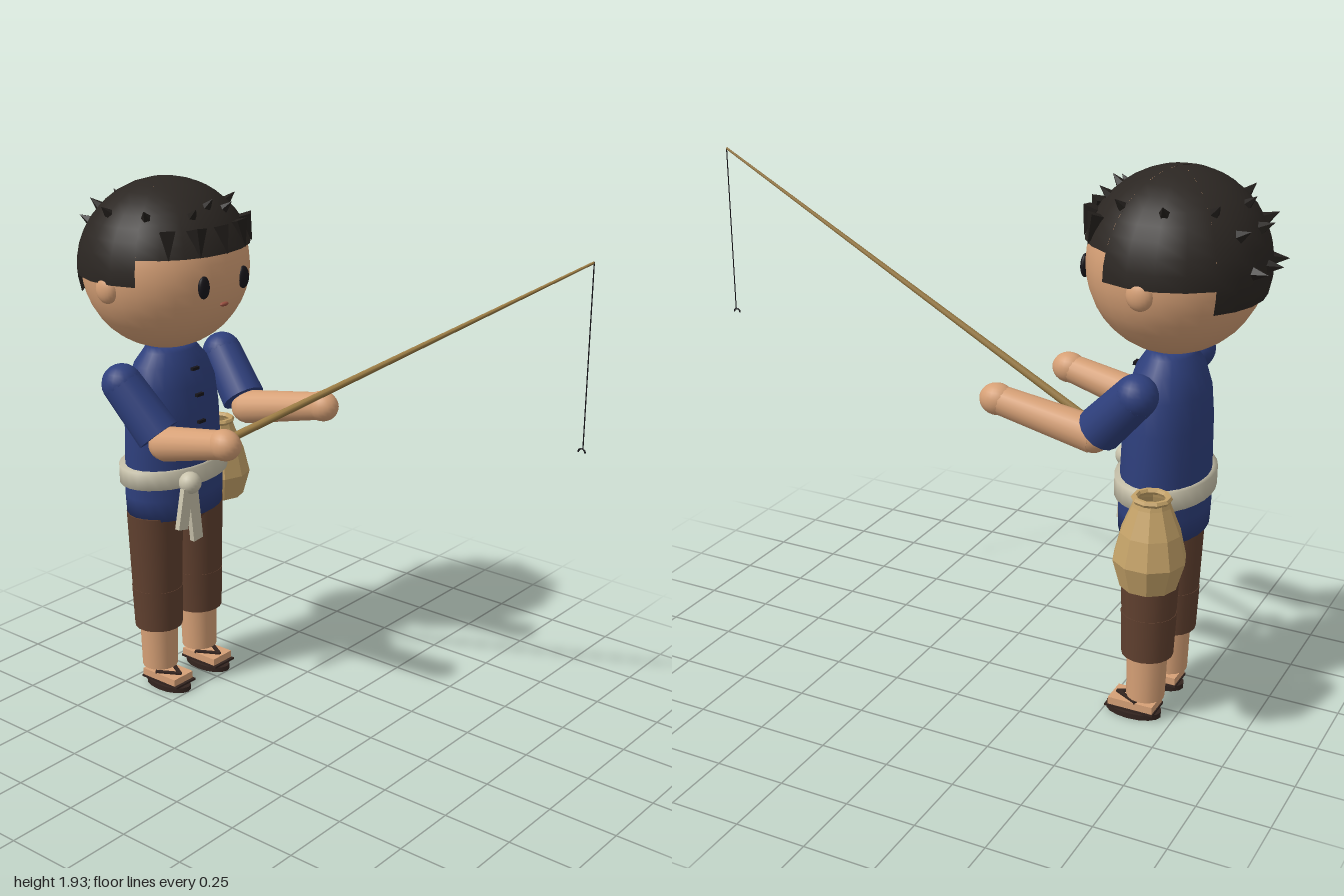
import * as THREE from 'three';

const V = (x, y, z) => new THREE.Vector3(x, y, z);
const rad = THREE.MathUtils.degToRad;
const paint = (color, extra = {}) => new THREE.MeshStandardMaterial({ color, ...extra });
const DS = { side: THREE.DoubleSide };
const skin = paint(0xd6a076), blue = paint(0x2e3f7c, DS), hairMat = paint(0x2b2622, DS);
const spikeMat = paint(0x221e1b, { flatShading: true }), pants = paint(0x60402f);
const dark = paint(0x33241f), cream = paint(0xc9c3ac, DS), ink = paint(0x17151a);
const bamboo = paint(0x9c7d45), wicker = paint(0xc4a268, { flatShading: true, ...DS });
const CX = -0.05, CZ = -0.645; // body axis

export function createModel() {
  const root = new THREE.Group();

  function add(name, geo, mat, pos, scale, parent = root) {
    const m = new THREE.Mesh(geo, mat);
    m.name = name;
    if (pos) m.position.copy(pos);
    if (scale) m.scale.copy(scale);
    parent.add(m);
    return m;
  }
  const ball = (name, mat, pos, sx, sy = sx, sz = sx) =>
    add(name, new THREE.SphereGeometry(1, 20, 14), mat, pos, V(sx, sy, sz));
  // Tapered cylinder between two points
  function limb(name, mat, a, b, ra, rb, sides = 16) {
    const dir = b.clone().sub(a);
    const m = add(name, new THREE.CylinderGeometry(rb, ra, dir.length(), sides), mat, a.clone().lerp(b, 0.5));
    m.quaternion.setFromUnitVectors(V(0, 1, 0), dir.normalize());
    return m;
  }
  const lathe = (pts, sides) => new THREE.LatheGeometry(pts.map(p => new THREE.Vector2(...p)), sides);

  // Head and face
  const headPos = V(CX, 1.62, CZ - 0.005);
  add('head', new THREE.SphereGeometry(1, 28, 20), skin, headPos, V(0.31, 0.298, 0.29));
  for (const s of [-1, 1]) {
    ball('ear', skin, V(CX + s * 0.3, 1.585, CZ), 0.03, 0.05, 0.045);
    ball('eye', ink, V(CX + s * 0.102, 1.595, -0.375), 0.026, 0.04, 0.014);
  }
  ball('mouth', paint(0x9a5040), V(CX, 1.518, -0.376), 0.02, 0.008, 0.01);

  // Hair cap in bands: short over the face, longer at the sides and back
  const hairR = V(0.325, 0.311, 0.306);
  for (const [from, to, drop] of [[-64, 64, 75], [64, 135, 92], [135, 225, 107], [225, 296, 92]])
    add('hairCap', new THREE.SphereGeometry(1, Math.round((to - from) / 16), 10,
      rad(90 + from), rad(to - from), 0, rad(drop)), hairMat, headPos, hairR);

  // Hair tufts, placed by angle from the front and angle from the crown
  function tuft(turn, tilt, r, h) {
    const n = V().setFromSphericalCoords(1, rad(tilt), rad(turn));
    const m = add('hairTuft', new THREE.ConeGeometry(r, h, 5), spikeMat,
      n.clone().multiply(hairR).add(headPos).addScaledVector(n, h * 0.3));
    m.quaternion.setFromUnitVectors(V(0, 1, 0), n);
  }
  for (let i = 0; i < 9; i++) tuft(20 + i * 40, 47, 0.021, 0.05);
  tuft(0, 42, 0.021, 0.05);
  for (const a of [155, 180, 205]) tuft(a, 63, 0.026, 0.06);
  for (const a of [163, 180, 197]) tuft(a, 86, 0.026, 0.06);
  // Fringe points
  for (const a of [-42, -21, 0, 21, 42]) {
    const n = V(Math.sin(rad(a)), 0, Math.cos(rad(a)));
    const m = add('fringe', new THREE.ConeGeometry(0.036, 0.1, 4), spikeMat,
      V(n.x * 0.305, 0.125, n.z * 0.282).add(headPos));
    m.quaternion.setFromUnitVectors(V(0, 1, 0), n.multiplyScalar(0.3).add(V(0, -1, 0)).normalize());
  }

  // Tunic, belt and hips
  const flat = V(1, 1, 0.7);
  add('tunic', lathe([[0, 0.7], [0.208, 0.7], [0.212, 0.78], [0.206, 0.95], [0.202, 1.08], [0.188, 1.19],
    [0.155, 1.27], [0.115, 1.315], [0.1, 1.335], [0, 1.335]], 24), blue, V(CX, 0, CZ), flat);
  add('hips', new THREE.CylinderGeometry(0.2, 0.14, 0.06, 16), pants, V(CX, 0.69, CZ), flat);
  add('belt', lathe([[0.2, 0.832], [0.235, 0.832], [0.235, 0.898], [0.2, 0.898]], 28), cream,
    V(CX, 0, CZ), V(1, 1, 0.69));
  for (const [y, z] of [[1.255, -0.524], [1.16, -0.506], [1.06, -0.5]])
    add('button', new THREE.BoxGeometry(0.034, 0.011, 0.014), ink, V(CX, y, z));
  ball('beltKnot', cream, V(-0.165, 0.865, -0.455), 0.041);
  for (const [x, y, len, tilt] of [[-0.203, 0.775, 0.15, -0.22], [-0.152, 0.74, 0.2, 0.1]])
    add('beltTail', new THREE.BoxGeometry(0.048, len, 0.02), cream, V(x, y, -0.452)).rotation.z = tilt;

  // Legs and sandals
  for (const s of [-1, 1]) {
    const x = CX + s * 0.11;
    const up = (y) => V(x, y, CZ);
    limb('thigh', pants, up(0.405), up(0.71), 0.094, 0.104, 18);
    limb('trouserCuff', pants, up(0.25), up(0.41), 0.09, 0.096, 18);
    limb('shin', skin, up(0.08), up(0.26), 0.067, 0.071, 16);
    const sandal = new THREE.Group();
    sandal.name = 'sandal';
    sandal.position.set(x, 0, -0.603);
    root.add(sandal);
    const sole = new THREE.CylinderGeometry(1, 1, 0.02, 16);
    add('sole', sole, dark, V(0, 0.01, 0), V(0.058, 1, 0.102), sandal);
    add('foot', new THREE.BoxGeometry(0.1, 0.036, 0.165), skin, V(0, 0.042, -0.004), null, sandal);
    add('footbed', new THREE.BoxGeometry(0.106, 0.008, 0.18), dark, V(0, 0.029, 0), null, sandal);
    for (const t of [-1, 1])
      add('strap', new THREE.BoxGeometry(0.014, 0.01, 0.1), dark, V(t * 0.022, 0.062, 0.02), null, sandal)
        .rotation.y = -t * 0.5;
  }

  // Arms reaching forward
  const arms = [
    [V(-0.312, 1.24, -0.63), V(-0.27, 1.04, -0.47), V(-0.283, 1.105, -0.175)],
    [V(0.212, 1.24, -0.63), V(0.17, 1.065, -0.47), V(0.185, 1.135, -0.125)],
  ];
  for (const [shoulder, elbow, hand] of arms) {
    ball('shoulder', blue, shoulder, 0.073);
    limb('sleeve', blue, shoulder, shoulder.clone().lerp(elbow, 0.85), 0.073, 0.08);
    ball('elbow', skin, elbow, 0.06);
    limb('forearm', skin, elbow, hand, 0.063, 0.05);
    ball('hand', skin, hand, 0.053, 0.055, 0.062);
  }

  // Fishing rod with line and hook
  const tip = V(0.08, 1.845, 0.997);
  limb('fishingRod', bamboo, V(-0.046, 0.97, -0.45), tip, 0.016, 0.004, 8);
  limb('fishingLine', ink, V(tip.x, 1.255, tip.z), tip, 0.002, 0.002, 5);
  add('hook', new THREE.TorusGeometry(0.012, 0.003, 6, 12, Math.PI), ink, V(tip.x, 1.243, tip.z - 0.004))
    .rotation.y = Math.PI / 2;

  // Creel basket on the hip
  const basket = V(0.277, 0, -0.722);
  add('basket', lathe([[0, 0.63], [0.095, 0.63], [0.122, 0.725], [0.1, 0.82], [0.064, 0.91], [0.058, 0.93]], 10),
    wicker, basket);
  add('basketRim', new THREE.TorusGeometry(0.056, 0.011, 6, 10), wicker, V(basket.x, 0.934, basket.z))
    .rotation.x = Math.PI / 2;

  return root;
}
